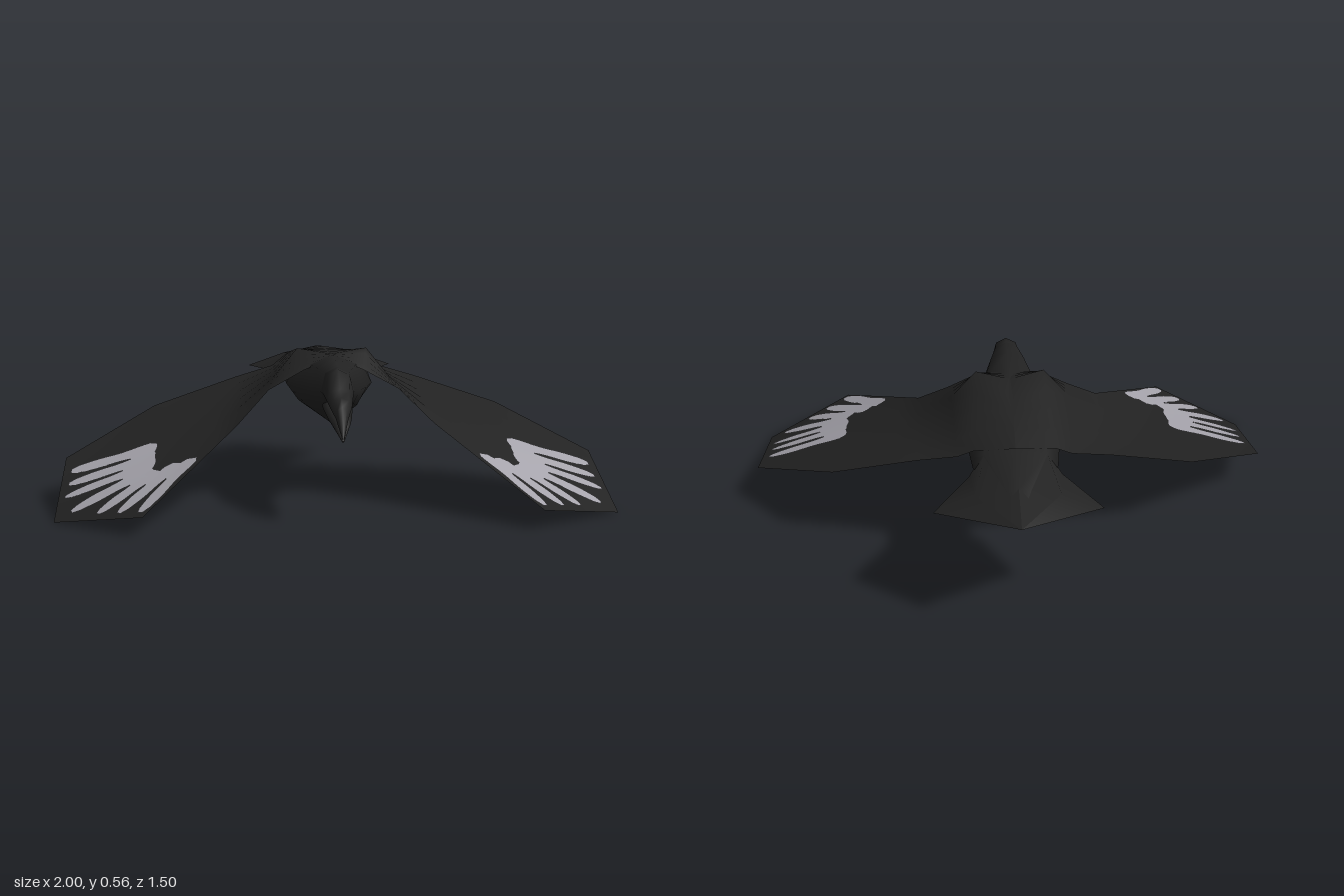
import * as THREE from 'three';

const plumage = new THREE.MeshStandardMaterial({ color: 0x222222, side: THREE.DoubleSide });
plumage.name = 'black plumage';
const feather = new THREE.MeshStandardMaterial({ color: 0xa6a4ac, side: THREE.DoubleSide });
feather.name = 'pale feather';

const { lerp, clamp } = THREE.MathUtils;

// Smooth surface through equally long rows of [x, y, z] points
function surface(name, rows, material) {
  const n = rows[0].length, index = [];
  for (let i = 0; i < rows.length - 1; i++) {
    for (let j = 0; j < n - 1; j++) {
      const a = i * n + j, b = a + n;
      index.push(a, b, a + 1, b, b + 1, a + 1);
    }
  }
  const g = new THREE.BufferGeometry();
  g.setAttribute('position', new THREE.Float32BufferAttribute(rows.flat(2), 3));
  g.setIndex(index);
  g.computeVertexNormals();
  const mesh = new THREE.Mesh(g, material);
  mesh.name = name;
  return mesh;
}

const mix = (a, b, t) => a.map((v, i) => lerp(v, b[i], t));
const mirror = (rows, s) => rows.map(r => r.map(([x, y, z]) => [x * s, y, z]));

// Closed cross-section with a rounded back and a V-shaped belly
function ring([z, top, side, w, bottom]) {
  const up = top - side, down = side - bottom;
  return [
    [0, bottom, z], [0.72 * w, side - 0.5 * down, z], [w, side, z], [0.72 * w, side + 0.75 * up, z],
    [0, top, z], [-0.72 * w, side + 0.75 * up, z], [-w, side, z], [-0.72 * w, side - 0.5 * down, z],
    [0, bottom, z],
  ];
}

// Front and rear edges of the outer wing: x, front y, front z, rear y, rear z
const edges = [
  [0.36, 0.30, 0.34, 0.40, -0.24],
  [0.68, 0.065, 0.745, 0.30, -0.16],
  [1.0, 0.0, 0.525, 0.145, 0.10],
];
function edgeAt(x) {
  const k = x < 0.68 ? 0 : 1;
  return mix(edges[k], edges[k + 1], clamp((x - edges[k][0]) / 0.32, 0, 1));
}

// Point on the outer wing above (x, z), kept inside its outline
function onWing(x, z, lift) {
  x = clamp(x, 0.36, 0.995);
  const [, fy, fz, ry, rz] = edgeAt(x);
  const t = clamp((z - fz) / (rz - fz), 0.004, 1);
  return [x, lerp(fy, ry, t) + lift, lerp(fz, rz, t)];
}

// Wing rows from the spine, over the shoulder, to the tip
function wingRows() {
  const keys = [
    [[0, 0.525, 0.18], [0, 0.53, 0.10], [0, 0.51, -0.34]],
    [[0.11, 0.485, 0.22], [0.13, 0.555, 0.12], [0.15, 0.485, -0.31]],
    [[0.24, 0.415, 0.235], [0.225, 0.438, 0.10], [0.21, 0.44, -0.28]],
  ];
  for (let i = 0; i <= 8; i++) {
    const [x, fy, fz, ry, rz] = edgeAt(0.36 + 0.08 * i);
    const f = [x, fy, fz], r = [x, ry, rz];
    keys.push([f, mix(f, r, 0.3), r]);
  }
  return keys.map(([f, m, r]) => {
    const row = [];
    for (let j = 0; j <= 8; j++) row.push(j < 4 ? mix(f, m, j / 4) : mix(m, r, (j - 4) / 4));
    return row;
  });
}

// Pale stripes: start x, z, end x, z, start width, end width
const stripes = [
  [0.655, 0.235, 0.97, 0.215, 0.09, 0.055],
  [0.655, 0.31, 0.97, 0.305, 0.09, 0.045],
  [0.68, 0.37, 0.975, 0.39, 0.08, 0.04],
  [0.66, 0.41, 0.94, 0.51, 0.09, 0.05],
  [0.64, 0.44, 0.84, 0.60, 0.08, 0.045],
  [0.57, 0.44, 0.765, 0.655, 0.08, 0.045],
  [0.52, 0.45, 0.69, 0.71, 0.07, 0.045],
  [0.70, 0.20, 0.70, 0.42, 0.09, 0.09],
];
function stripeRows([x0, z0, x1, z1, w0, w1], lift) {
  const len = Math.hypot(x1 - x0, z1 - z0), nx = -(z1 - z0) / len, nz = (x1 - x0) / len;
  const rows = [];
  for (let i = 0; i <= 12; i++) {
    const t = i / 12, round = i === 0 ? 0.6 : i === 12 ? 0.5 : 1;
    // Slightly wavy edge like a feather
    const w = lerp(w0, w1, t) * round * (1 + 0.1 * Math.sin(t * 11)) / 2;
    const x = lerp(x0, x1, t), z = lerp(z0, z1, t);
    rows.push([-1, 0, 1].map(k => onWing(x + nx * w * k, z + nz * w * k, lift)));
  }
  return rows;
}

export function createModel() {
  const bird = new THREE.Group();
  bird.name = 'bird';

  // Body with head and upper beak: z, top, side, half width, bottom
  const body = [
    [0.642, 0.305, 0.302, 0.004, 0.30],
    [0.595, 0.405, 0.365, 0.022, 0.35],
    [0.55, 0.43, 0.395, 0.038, 0.377],
    [0.50, 0.455, 0.41, 0.045, 0.387],
    [0.435, 0.515, 0.43, 0.055, 0.399],
    [0.40, 0.518, 0.43, 0.06, 0.402],
    [0.39, 0.52, 0.43, 0.062, 0.345],
    [0.30, 0.53, 0.42, 0.09, 0.32],
    [0.15, 0.532, 0.41, 0.13, 0.272],
    [0.0, 0.528, 0.405, 0.165, 0.275],
    [-0.20, 0.515, 0.42, 0.17, 0.342],
    [-0.34, 0.505, 0.43, 0.155, 0.388],
    [-0.55, 0.488, 0.46, 0.06, 0.44],
    [-0.70, 0.468, 0.466, 0.004, 0.464],
  ];
  bird.add(surface('body', body.map(ring), plumage));

  // Lower beak, leaving a narrow open mouth
  const jaw = [
    [0.635, 0.293, 0.291, 0.004, 0.289],
    [0.59, 0.332, 0.318, 0.02, 0.298],
    [0.55, 0.364, 0.34, 0.034, 0.305],
    [0.50, 0.376, 0.35, 0.042, 0.315],
    [0.42, 0.389, 0.37, 0.052, 0.338],
    [0.38, 0.40, 0.38, 0.055, 0.347],
  ];
  bird.add(surface('lowerBeak', jaw.map(ring), plumage));

  // Drooping tail fan, tip at the back
  const tail = [
    [[0, 0.508, -0.30], [0.11, 0.485, -0.31], [0.17, 0.40, -0.35]],
    [[0, 0.488, -0.55], [0.15, 0.46, -0.55], [0.30, 0.405, -0.565]],
    [[0, 0.465, -0.75], [0, 0.465, -0.75], [0, 0.465, -0.75]],
  ];

  for (const [s, side] of [[1, 'left'], [-1, 'right']]) {
    bird.add(surface(side + 'Tail', mirror(tail, s), plumage));
    const wing = new THREE.Group();
    wing.name = side + 'Wing';
    wing.add(surface(side + 'WingSurface', mirror(wingRows(), s), plumage));
    for (const stripe of stripes) {
      for (const lift of [0.004, -0.004]) {
        wing.add(surface(side + 'FeatherStripe', mirror(stripeRows(stripe, lift), s), feather));
      }
    }
    bird.add(wing);
  }
  return bird;
}
